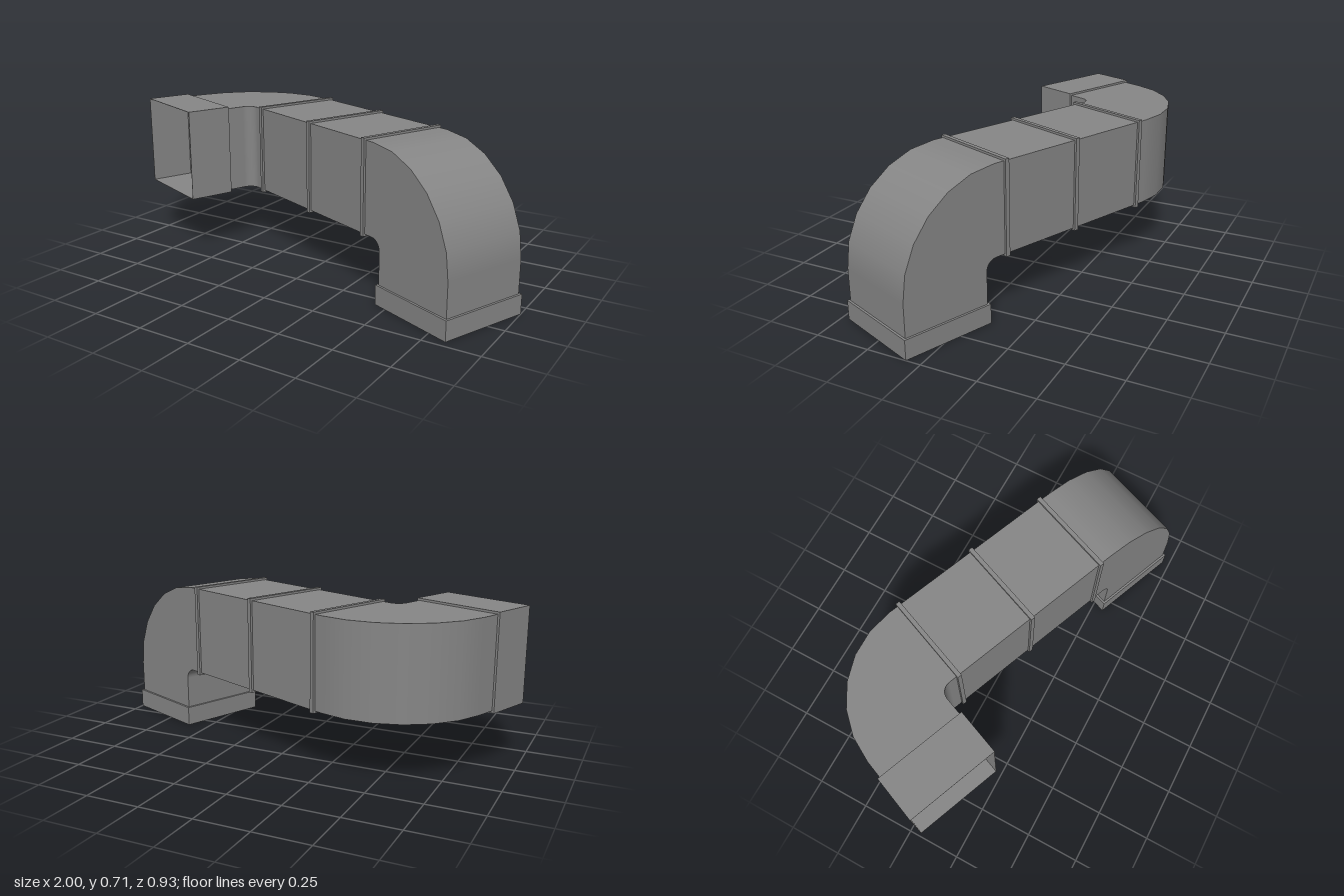
import * as THREE from 'three';

const gray = new THREE.MeshStandardMaterial({ color: 0x868686, side: THREE.DoubleSide });
gray.name = 'sheetMetalGray';

const V = (x, y, z) => new THREE.Vector3(x, y, z);
const MID_Y = 0.495, MID_Z = -0.097; // axis of the straight run
const BEND = 0.255, STEPS = 6;       // elbow centreline radius, segments

// Stations along the duct: centre p, section axes s (sideways) and b (upward)
function ductPath() {
  const st = [{ p: V(-0.678, MID_Y, 0.242), s: V(1, 0, 0), b: V(0, 1, 0) }];
  for (let i = 0; i <= STEPS; i++) { // horizontal elbow
    const a = (i / STEPS) * Math.PI / 2, c = Math.cos(a), n = Math.sin(a);
    st.push({ p: V(-0.423 - BEND * c, MID_Y, 0.158 - BEND * n), s: V(c, 0, n), b: V(0, 1, 0) });
  }
  for (let i = 0; i <= STEPS; i++) { // downward elbow
    const a = (i / STEPS) * Math.PI / 2, c = Math.cos(a), n = Math.sin(a);
    st.push({ p: V(0.482 + BEND * n, 0.24 + BEND * c, MID_Z), s: V(0, 0, 1), b: V(n, c, 0) });
  }
  st.push({ p: V(0.737, 0.09, MID_Z), s: V(0, 0, 1), b: V(1, 0, 0) });
  return st;
}

// Square tube swept along the stations: four strips, sharp at the corners
function squareTube(stations, half) {
  const pos = [], nor = [], idx = [];
  for (let side = 0; side < 4; side++) {
    const base = pos.length / 3;
    for (const { p, s, b } of stations) {
      const axes = [s, b, s.clone().negate(), b.clone().negate()];
      const n = axes[side], t = axes[(side + 1) % 4];
      for (const k of [-half, half]) {
        pos.push(...p.clone().addScaledVector(n, half).addScaledVector(t, k).toArray());
        nor.push(...n.toArray());
      }
    }
    for (let i = 0; i < stations.length - 1; i++) {
      const a = base + 2 * i;
      idx.push(a, a + 2, a + 1, a + 1, a + 2, a + 3);
    }
  }
  // orient every triangle to agree with its normal
  for (let i = 0; i < idx.length; i += 3) {
    const [A, B, C] = [0, 1, 2].map(k => V(0, 0, 0).fromArray(pos, idx[i + k] * 3));
    const face = B.sub(A).cross(C.sub(A));
    if (face.dot(V(0, 0, 0).fromArray(nor, idx[i] * 3)) < 0) [idx[i + 1], idx[i + 2]] = [idx[i + 2], idx[i + 1]];
  }
  const g = new THREE.BufferGeometry();
  g.setAttribute('position', new THREE.Float32BufferAttribute(pos, 3));
  g.setAttribute('normal', new THREE.Float32BufferAttribute(nor, 3));
  g.setIndex(idx);
  return g;
}

// Square frame with a square hole, extruded along z and centred
function frame(outer, inner, depth) {
  const square = (Type, w) => new Type([[-1, -1], [1, -1], [1, 1], [-1, 1]]
    .map(([x, y]) => new THREE.Vector2(x * w / 2, y * w / 2)));
  const shape = square(THREE.Shape, outer);
  shape.holes.push(square(THREE.Path, inner));
  const g = new THREE.ExtrudeGeometry(shape, { depth, bevelEnabled: false });
  return g.translate(0, 0, -depth / 2);
}

export function createModel() {
  const model = new THREE.Group();
  model.name = 'ventilationDuct';
  const duct = new THREE.Group();
  duct.name = 'ductAssembly';
  duct.rotation.y = THREE.MathUtils.degToRad(-22);
  model.add(duct);

  const add = (name, geometry, parent = duct) => {
    const m = new THREE.Mesh(geometry, gray);
    m.name = name;
    parent.add(m);
    return m;
  };

  // Outer skin and inner lining
  const path = ductPath();
  add('ductSkin', squareTube(path, 0.205));
  add('ductLining', squareTube(path, 0.18));

  // Joint flanges around the straight run
  [-0.374, 0.028, 0.424].forEach((x, i) => {
    const ring = add('jointFlange' + (i + 1), frame(0.43, 0.4, 0.02));
    ring.rotation.y = Math.PI / 2;
    ring.position.set(x, MID_Y, MID_Z);
  });

  // Open end collars with an inner rim; z points out of the opening
  const collar = (name, depth) => {
    const g = new THREE.Group();
    g.name = name;
    add('collarWall', frame(0.43, 0.426, depth), g).position.z = depth / 2;
    add('collarRim', frame(0.428, 0.36, 0.006), g).position.z = 0.003;
    duct.add(g);
    return g;
  };
  collar('sideCollar', 0.215).position.set(-0.678, MID_Y, 0.242);
  const foot = collar('footCollar', 0.09);
  foot.rotation.x = Math.PI / 2;
  foot.position.set(0.737, 0.09, MID_Z);

  return model;
}
